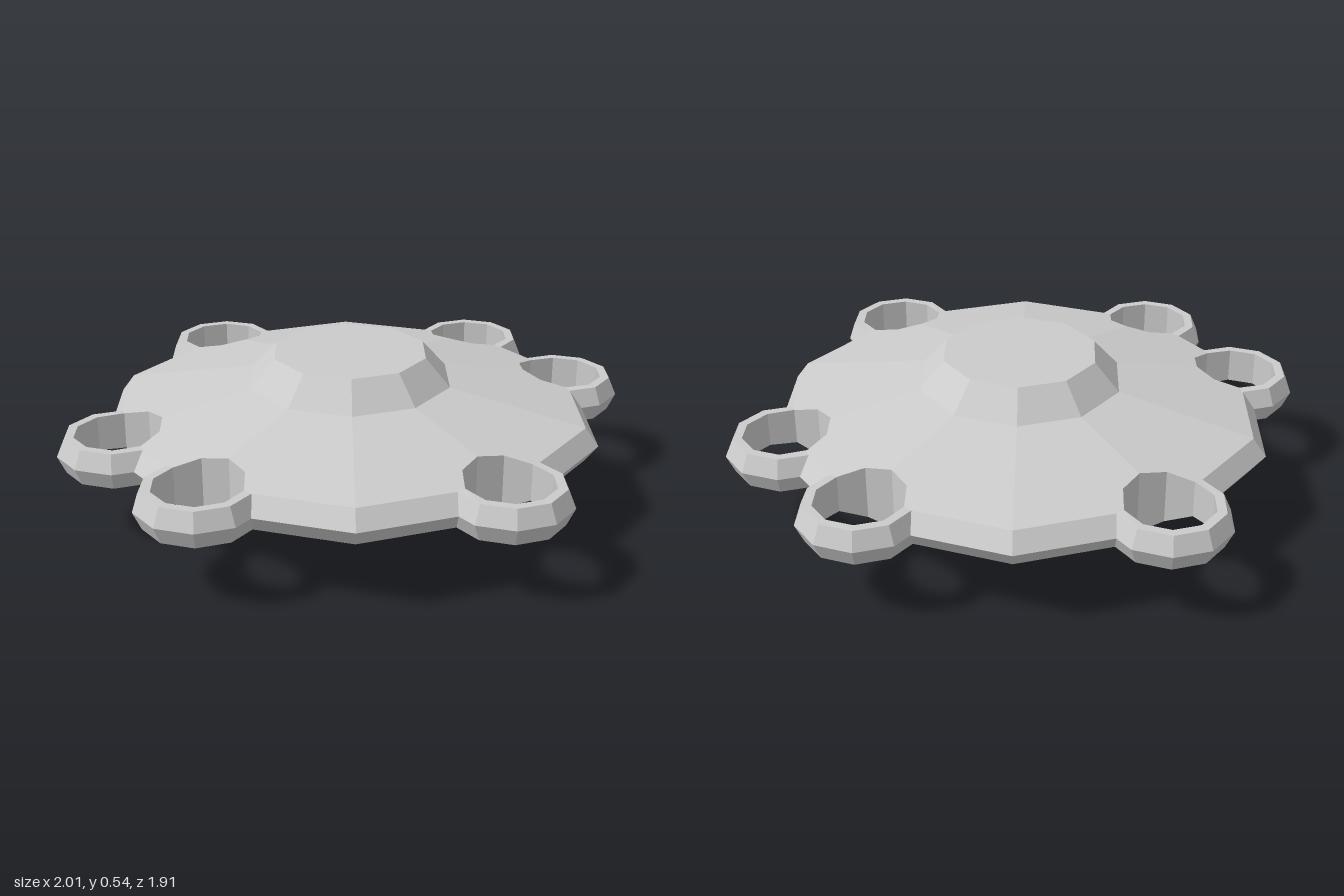
import * as THREE from 'three';

const SIDES = 10, STEP = Math.PI * 2 / SIDES;
const RING_ANGLES = [0, 2, 3, 5, 7, 8].map(k => k * STEP);
const RING_DIST = 0.8, HOLE_R = 0.147;
const polar = (r, a, y = 0) => new THREE.Vector3(r * Math.cos(a), y, -r * Math.sin(a));
const ringCentres = RING_ANGLES.map(a => polar(RING_DIST, a));

// hull section from the centre of the underside, round the rim, to the centre of the roof
const HULL = [[0, 0.16], [0.44, 0.16], [0.475, 0.08], [0.6, 0.14], [0.81, 0.23],
  [0.855, 0.29], [0.81, 0.35], [0.35, 0.44], [0.265, 0.535], [0, 0.535]];

// ten-sided vertical holes through the hull
const holes = ringCentres.map(c =>
  Array.from({ length: SIDES }, (_, i) => polar(HOLE_R, i * STEP).add(c)));

// part of a polygon on one side of the vertical plane through p and q
function clip(poly, p, q, sign) {
  const dist = v => sign * ((q.x - p.x) * (p.z - v.z) - (p.z - q.z) * (v.x - p.x));
  const out = [];
  poly.forEach((a, i) => {
    const b = poly[(i + 1) % poly.length], da = dist(a), db = dist(b);
    if (da >= 0) out.push(a);
    if ((da > 0 && db < 0) || (da < 0 && db > 0)) out.push(a.clone().lerp(b, da / (da - db)));
  });
  return out;
}

// polygon minus a convex hole, as a list of convex pieces
function cutHole(poly, hole) {
  const pieces = [];
  let rest = poly;
  hole.forEach((p, i) => {
    const q = hole[(i + 1) % hole.length];
    const outside = clip(rest, p, q, -1);
    if (outside.length > 2) pieces.push(outside);
    rest = clip(rest, p, q, 1);
  });
  return rest.length > 2 ? pieces : [poly];
}

function hullGeometry() {
  const pos = [];
  for (let s = 0; s < SIDES; s++) {
    const a0 = s * STEP, a1 = a0 + STEP;
    for (let i = 0; i < HULL.length - 1; i++) {
      const [r0, y0] = HULL[i], [r1, y1] = HULL[i + 1];
      const quad = [polar(r0, a0, y0)];
      if (r0 > 0) quad.push(polar(r0, a1, y0));
      quad.push(polar(r1, a1, y1));
      if (r1 > 0) quad.push(polar(r1, a0, y1));
      let polys = [quad];
      for (const hole of holes) polys = polys.flatMap(p => cutHole(p, hole));
      for (const p of polys)
        for (let k = 1; k < p.length - 1; k++)
          for (const v of [p[0], p[k], p[k + 1]]) pos.push(v.x, v.y, v.z);
    }
  }
  const g = new THREE.BufferGeometry();
  g.setAttribute('position', new THREE.Float32BufferAttribute(pos, 3));
  g.computeVertexNormals();
  return g;
}

const lathe = pts => new THREE.LatheGeometry(
  pts.map(([r, y]) => new THREE.Vector2(r, y)), SIDES, Math.PI / 2);

// ten-sided radius of a point in plan
function hullRadius(x, z) {
  let d = 0;
  for (let s = 0; s < SIDES; s++) {
    const n = polar(1, (s + 0.5) * STEP);
    d = Math.max(d, (x * n.x + z * n.z) / Math.cos(STEP / 2));
  }
  return d;
}

// rim ring whose bore is stretched to meet the hull skin above and below
function rimRingGeometry(c) {
  const g = lathe([[HOLE_R, 0.35], [HOLE_R, 0.23], [0.178, 0.23], [0.205, 0.29],
    [0.178, 0.35], [HOLE_R, 0.35]]).translate(c.x, 0, c.z);
  const p = g.attributes.position;
  for (let i = 0; i < p.count; i++) {
    const x = p.getX(i), z = p.getZ(i);
    if (Math.hypot(x - c.x, z - c.z) > HOLE_R + 0.01) continue;
    const inset = Math.max(0, 0.81 - hullRadius(x, z));
    p.setY(i, p.getY(i) > 0.29 ? 0.35 + inset * 0.09 / 0.46 : 0.23 - inset * 0.09 / 0.21);
  }
  g.computeVertexNormals();
  return g;
}

// open thruster tube with a bevelled lower lip
const thrusterGeometry = (r, y, bevel) => lathe([[r * 0.66, 0.16], [r * 0.66, y],
  [r * 0.8, y], [r, y + bevel], [r, 0.16]]);

export function createModel() {
  const model = new THREE.Group();
  const material = new THREE.MeshStandardMaterial({
    color: 0xcccccc, flatShading: true, side: THREE.DoubleSide });
  const add = (name, geometry) => {
    const mesh = new THREE.Mesh(geometry, material);
    mesh.name = name;
    model.add(mesh);
    return mesh;
  };

  add('hull', hullGeometry());
  ringCentres.forEach((c, i) => add('rimRing' + (i + 1), rimRingGeometry(c)));

  // underside thrusters: one in the middle, eight around it
  add('centreThruster', thrusterGeometry(0.14, 0, 0.04));
  const small = thrusterGeometry(0.1, 0.05, 0.03);
  for (let i = 0; i < 8; i++)
    add('thruster' + (i + 1), small).position.copy(polar(0.29, i * Math.PI / 4));

  return model;
}
